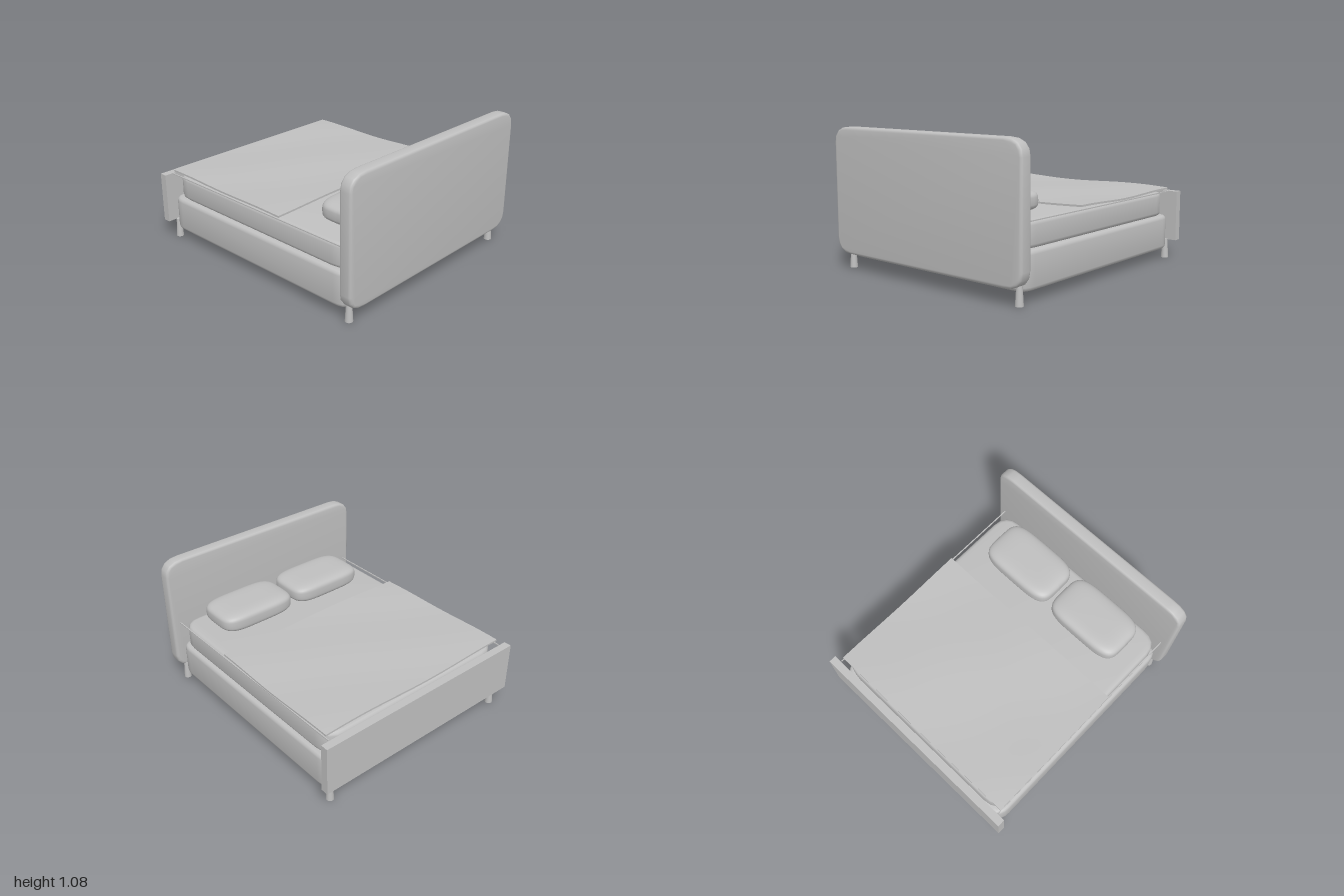
import * as THREE from 'three';
import { toCreasedNormals } from 'three/addons/utils/BufferGeometryUtils.js';

// Centred slab in the xy plane, rounded corners (rx, ry) and soft edges
function slab(w, h, d, rx, ry, bevel) {
  const x = w / 2 - bevel, y = h / 2 - bevel;
  const s = new THREE.Shape();
  s.moveTo(-x + rx, -y);
  s.lineTo(x - rx, -y);
  s.quadraticCurveTo(x, -y, x, -y + ry);
  s.lineTo(x, y - ry);
  s.quadraticCurveTo(x, y, x - rx, y);
  s.lineTo(-x + rx, y);
  s.quadraticCurveTo(-x, y, -x, y - ry);
  s.lineTo(-x, -y + ry);
  s.quadraticCurveTo(-x, -y, -x + rx, -y);
  const g = new THREE.ExtrudeGeometry(s, {
    depth: d - 2 * bevel, bevelSize: bevel, bevelThickness: bevel,
    bevelSegments: 3, curveSegments: 4,
  });
  g.translate(0, 0, bevel - d / 2);
  return toCreasedNormals(g, 0.7);
}

// Pillow: a sphere squared off into a soft block
function pillowGeometry(w, h, d) {
  const g = new THREE.SphereGeometry(1, 48, 24);
  const p = g.attributes.position;
  const pow = (v, e) => Math.sign(v) * Math.abs(v) ** e;
  for (let i = 0; i < p.count; i++) {
    const y = THREE.MathUtils.clamp(p.getY(i), -1, 1);
    const r = Math.sqrt(Math.max(0, 1 - y * y));
    const c = r > 1e-6 ? p.getX(i) / r : 0, s = r > 1e-6 ? p.getZ(i) / r : 0;
    const ring = r > 1e-6 ? r ** 0.42 : 0;
    p.setXYZ(i, (w / 2) * ring * pow(c, 0.45), (h / 2) * pow(y, 0.55), (d / 2) * ring * pow(s, 0.45));
  }
  g.computeVertexNormals();
  return g;
}

// Thin cover with gentle waves
function blanketGeometry(w, t, d) {
  const g = new THREE.BoxGeometry(w, t, d, 32, 1, 28);
  const p = g.attributes.position;
  for (let i = 0; i < p.count; i++) {
    const x = p.getX(i), z = p.getZ(i);
    p.setY(i, p.getY(i) + 0.006 * Math.sin(5 * x + 3 * z + 0.6) + 0.004 * Math.cos(7 * z - 4 * x));
  }
  return toCreasedNormals(g, 0.7);
}

export function createModel() {
  const group = new THREE.Group();
  const grey = new THREE.MeshStandardMaterial({ color: 0xbfbfbf });
  grey.name = 'plainGrey';

  const add = (name, geometry, x, y, z) => {
    const mesh = new THREE.Mesh(geometry, grey);
    mesh.name = name;
    mesh.position.set(x, y, z);
    group.add(mesh);
    return mesh;
  };

  // Boards at both ends
  add('headboard', slab(1.82, 0.96, 0.1, 0.13, 0.1, 0.02), 0, 0.6, 0.95);
  add('footboard', new THREE.BoxGeometry(1.82, 0.395, 0.06), 0, 0.3425, -0.97);

  // Base and mattress lie flat
  const base = slab(1.71, 1.84, 0.27, 0.05, 0.08, 0.03).rotateX(-Math.PI / 2);
  add('base', base, 0, 0.215, -0.015);
  const mattress = slab(1.66, 1.82, 0.185, 0.12, 0.12, 0.03).rotateX(-Math.PI / 2);
  add('mattress', mattress, 0, 0.4425, -0.01);

  // Pillows, blanket and the thin edging rails beside the mattress
  add('blanket', blanketGeometry(1.69, 0.014, 1.185), 0, 0.563, -0.3175);
  for (const side of [-1, 1]) {
    add('pillow', pillowGeometry(0.655, 0.155, 0.405), side * 0.345, 0.618, 0.6575);
    add('edgeRail', new THREE.BoxGeometry(0.008, 0.008, 1.84), side * 0.843, 0.54, -0.015);

    // Legs flare slightly towards the floor
    for (const z of [0.917, -0.925]) {
      add('leg', new THREE.CylinderGeometry(0.02, 0.029, 0.15, 16), side * 0.825, 0.075, z);
    }
  }
  return group;
}
